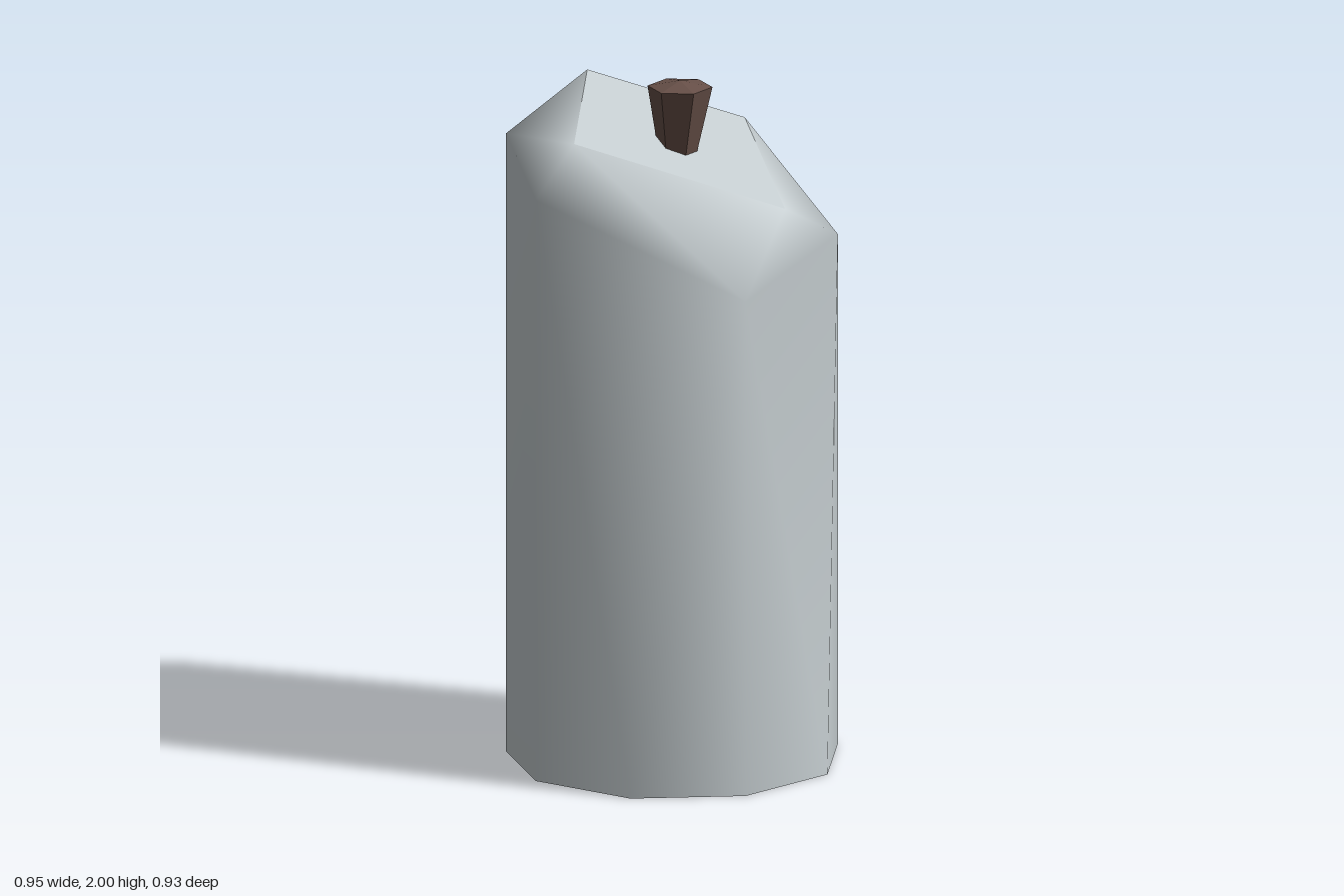
import * as THREE from 'three';

const wax = new THREE.MeshStandardMaterial({ color: 0xc4cccf });
wax.name = 'pale wax';
const char = new THREE.MeshStandardMaterial({ color: 0x675048 });
char.name = 'burnt brown';

// Joins two rings; each letter of steps advances the lower (L) or upper (U) ring
function stitch(index, lower, upper, steps) {
  let i = 0, j = 0;
  for (const s of steps) {
    const a = lower[i % lower.length], b = upper[j % upper.length];
    if (s === 'L') index.push(a, b, lower[++i % lower.length]);
    else index.push(a, b, upper[++j % upper.length]);
  }
}

function surface(points, index) {
  const g = new THREE.BufferGeometry();
  g.setAttribute('position', new THREE.Float32BufferAttribute(points.flat(), 3));
  g.setIndex(index);
  g.computeVertexNormals();
  return g;
}

// Flat polygon cap, fanned from its first corner
function cap(points, up) {
  const index = [];
  for (let k = 1; k < points.length - 1; k++) index.push(0, ...(up ? [k + 1, k] : [k, k + 1]));
  return surface(points, index);
}

export function createModel() {
  const model = new THREE.Group();
  const add = (name, geometry, material) => {
    const mesh = new THREE.Mesh(geometry, material);
    mesh.name = name;
    model.add(mesh);
  };

  // Nine-sided base, slanted five-sided shoulder, slanted four-sided top
  const base = [];
  for (let k = 0; k < 9; k++) {
    const a = k * Math.PI * 2 / 9;
    base.push([0.482 * Math.sin(a), 0, 0.013 - 0.482 * Math.cos(a)]);
  }
  const shoulder = [1, 3, 5, 6, 8].map((k) => {
    const [x, , z] = base[k];
    return [x, 1.645 - 0.44 * x, z];
  });
  const top = [[0, -0.335], [0.345, -0.045], [-0.12, 0.34], [-0.345, -0.045]]
    .map(([x, z]) => [x, 1.81 - 0.44 * x, z]);

  // Smooth side wall running into the shoulder
  const index = [];
  const ids = (start, n) => Array.from({ length: n }, (_, k) => start + k);
  const b = ids(0, 9), s = ids(9, 5), t = ids(14, 4);
  stitch(index, b, s, 'LLULLULLULULLU'.replace(/^/, ''));
  stitch(index, s, t, 'ULULLULUL');
  add('candleSide', surface([...base, ...shoulder, ...top], index), wax);
  add('candleTop', cap(top, true), wax);
  add('candleBottom', cap(base, false), wax);

  // Six-sided faceted wick, widening upward and leaning a little
  let wick = new THREE.LatheGeometry([
    new THREE.Vector2(0, 1.74), new THREE.Vector2(0.047, 1.74),
    new THREE.Vector2(0.093, 1.982), new THREE.Vector2(0, 2),
  ], 6);
  const p = wick.attributes.position;
  for (let k = 0; k < p.count; k++) {
    const lean = (p.getY(k) - 1.74) / 0.26;
    p.setX(k, p.getX(k) + 0.02 * lean);
    p.setZ(k, p.getZ(k) + 0.013 * lean);
  }
  wick = wick.toNonIndexed();
  wick.computeVertexNormals();
  add('wick', wick, char);

  return model;
}
